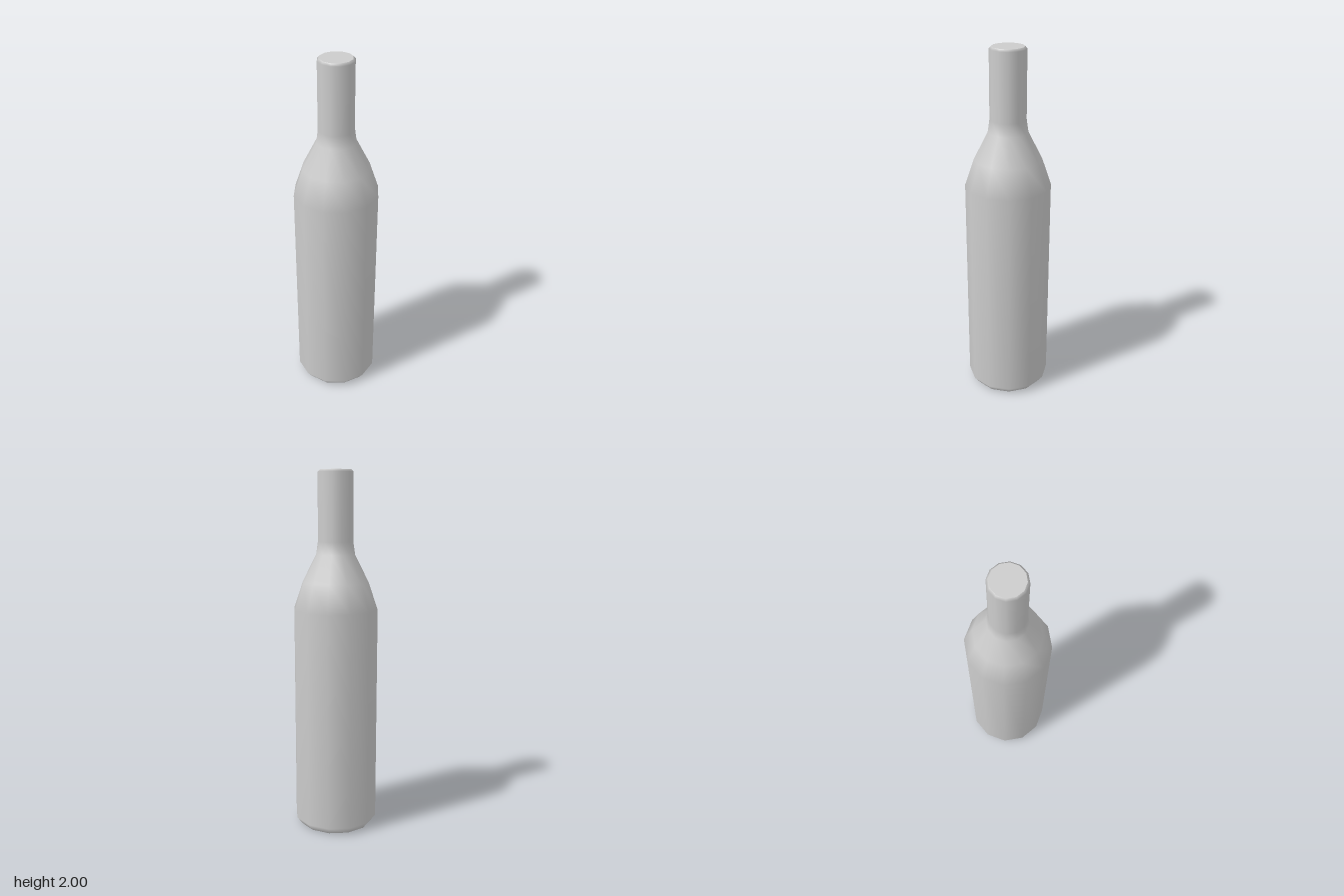
import * as THREE from 'three';

const SIDES = 12;

export function createModel() {
  const group = new THREE.Group();
  group.name = 'bottle';
  const material = new THREE.MeshStandardMaterial({ color: 0xcccccc });

  const add = (name, geometry, y = 0) => {
    const mesh = new THREE.Mesh(geometry, material);
    mesh.name = name;
    mesh.position.y = y;
    group.add(mesh);
  };

  // Outer wall: chamfered foot, straight body, sloping shoulder, neck and rim
  const profile = [
    [0.205, 0], [0.235, 0.04], [0.235, 1.25], [0.184, 1.4],
    [0.108, 1.55], [0.098, 1.62], [0.098, 1.988], [0.087, 2],
  ].map(([r, y]) => new THREE.Vector2(r, y));
  add('bottleWall', new THREE.LatheGeometry(profile, SIDES));

  // Flat discs closing both ends
  add('topCap', new THREE.CircleGeometry(0.087, SIDES).rotateX(-Math.PI / 2), 2);
  add('base', new THREE.CircleGeometry(0.205, SIDES).rotateX(Math.PI / 2), 0);

  return group;
}
